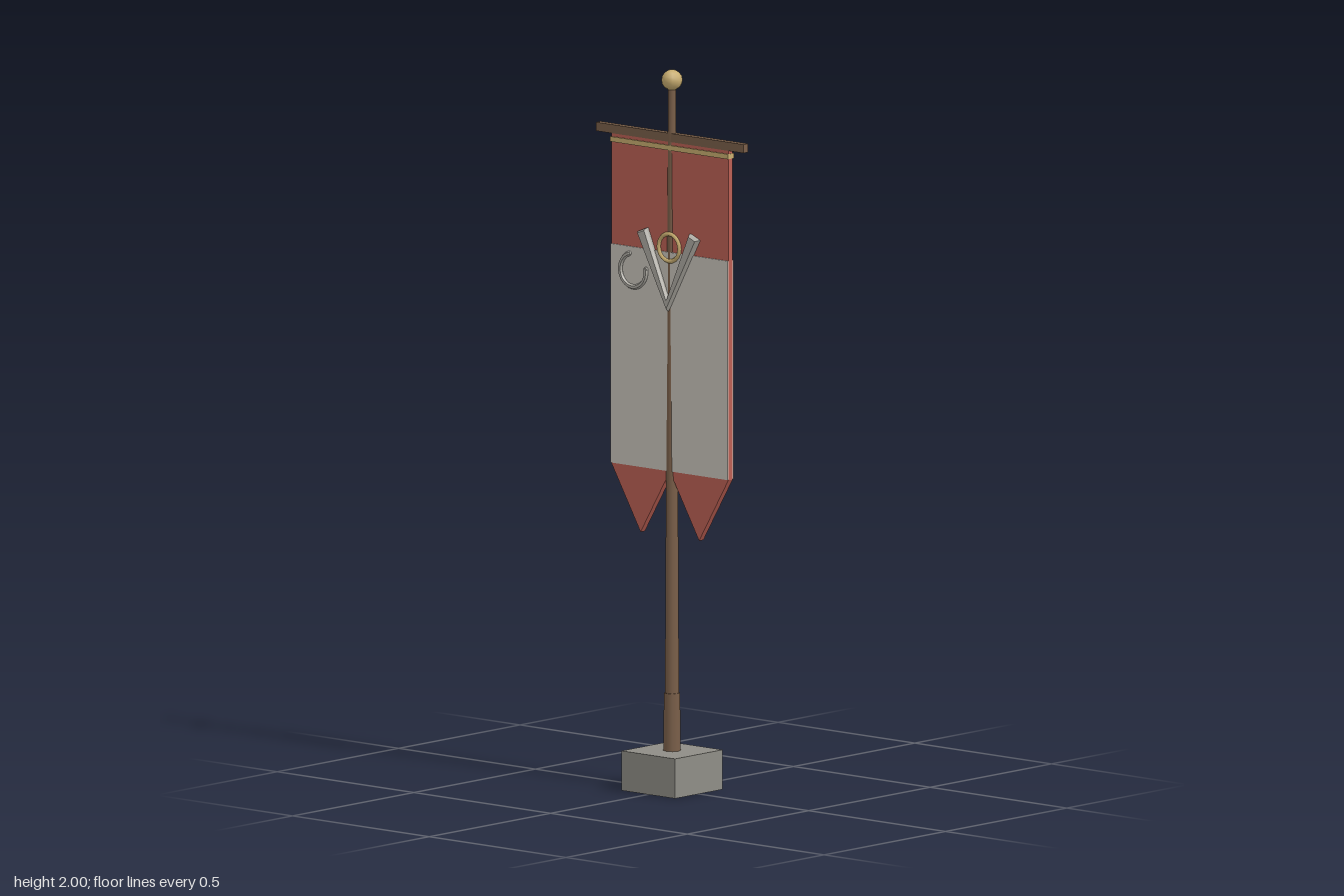
import * as THREE from 'three';

const mat = (name, color, flat = false) => {
  const m = new THREE.MeshStandardMaterial({ color, flatShading: flat });
  m.name = name;
  return m;
};

export function createModel() {
  const group = new THREE.Group();
  const wood = mat('wood', 0x7a5f49);
  const stone = mat('stone', 0x8f8d86);
  const red = mat('red cloth', 0xbc6054);
  const pale = mat('pale cloth', 0xc9c5bc);
  const gold = mat('gold', 0xc8ad70);
  const steel = mat('steel', 0xaeaba3, true);

  const add = (name, geometry, material, x = 0, y = 0, z = 0) => {
    const mesh = new THREE.Mesh(geometry, material);
    mesh.name = name;
    mesh.position.set(x, y, z);
    group.add(mesh);
    return mesh;
  };
  const box = (name, w, h, d, material, y) =>
    add(name, new THREE.BoxGeometry(w, h, d), material, 0, y, 0);
  const polygon = (points) => new THREE.Shape(points.map(([x, y]) => new THREE.Vector2(x, y)));

  // Base, pole and finial
  box('baseBlock', 0.196, 0.11, 0.196, stone, 0.055);
  add('poleSleeve', new THREE.CylinderGeometry(0.022, 0.024, 0.16, 8), wood, 0, 0.19);
  add('pole', new THREE.CylinderGeometry(0.011, 0.02, 1.85, 8), wood, 0, 1.035);
  add('finial', new THREE.SphereGeometry(0.029, 8, 8), gold, 0, 1.971);

  // Crossbar and gold trim
  box('crossbar', 0.54, 0.024, 0.02, wood, 1.812);
  box('topTrim', 0.432, 0.014, 0.026, gold, 1.784);

  // Swallow-tailed cloth
  const cloth = new THREE.ExtrudeGeometry(polygon([
    [-0.214, 1.802], [-0.214, 0.885], [-0.107, 0.705], [0, 0.885],
    [0.107, 0.705], [0.214, 0.885], [0.214, 1.802],
  ]), { depth: 0.018, bevelEnabled: false });
  add('cloth', cloth, red, 0, 0, -0.009);

  // Pale centre panel on each face
  for (const s of [1, -1]) {
    add('centrePanel', new THREE.BoxGeometry(0.428, 0.608, 0.003), pale, 0, 1.19, s * 0.0105);
  }

  // Forked emblem, showing on both faces
  const b = 0.005;
  const fork = new THREE.ExtrudeGeometry(polygon([
    [0, 1.338], [0.105, 1.537], [0.081, 1.547], [0, 1.36], [-0.081, 1.547], [-0.105, 1.537],
  ]), { depth: 0.034, bevelEnabled: true, bevelSize: b, bevelThickness: 0.008, bevelSegments: 1 });
  add('forkEmblem', fork, steel, 0, 0, -0.017);

  // Gold ring and open hoop on both faces
  for (const s of [1, -1]) {
    add('ring', new THREE.TorusGeometry(0.038, 0.006, 6, 20), gold, 0, 1.507, s * 0.012);
    const hoop = add('openHoop', new THREE.TorusGeometry(0.047, 0.007, 6, 20, Math.PI * 1.45),
      steel, -0.13, 1.43, s * 0.013);
    hoop.rotation.z = THREE.MathUtils.degToRad(108);
    // End caps
    for (const a of [0, Math.PI * 1.45]) {
      const cap = new THREE.Mesh(new THREE.SphereGeometry(0.007, 6, 4), steel);
      cap.name = 'hoopEnd';
      cap.position.set(Math.cos(a) * 0.047, Math.sin(a) * 0.047, 0);
      hoop.add(cap);
    }
  }

  return group;
}
